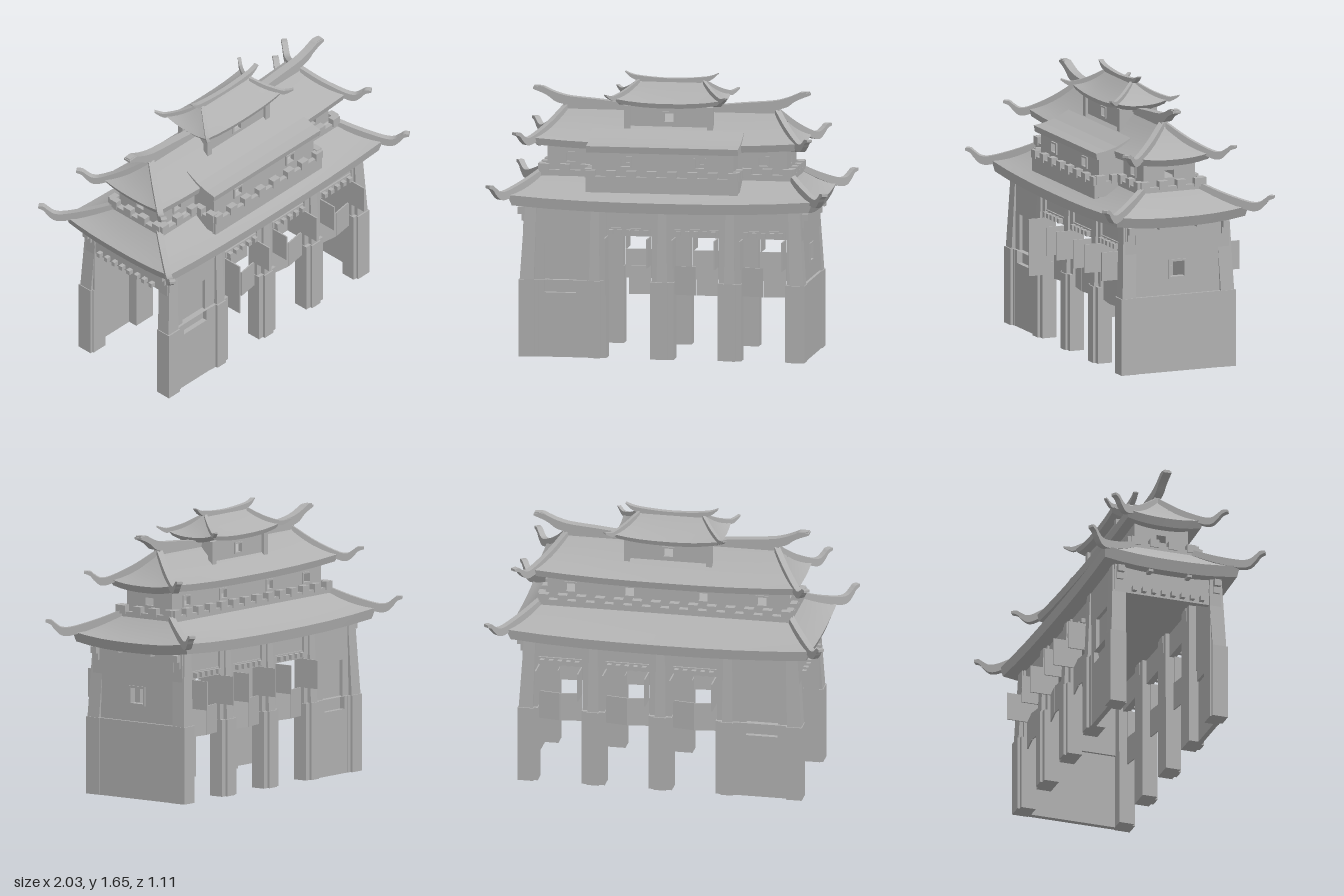
import * as THREE from 'three';
import { toCreasedNormals } from 'three/addons/utils/BufferGeometryUtils.js';

export function createModel() {
  const root = new THREE.Group();
  root.name = 'gateTower';
  const stone = new THREE.MeshStandardMaterial({ color: 0xb0b0b0 });
  stone.name = 'stoneGrey';

  function add(name, geometry, x = 0, y = 0, z = 0, ry = 0) {
    const mesh = new THREE.Mesh(geometry, stone);
    mesh.name = name;
    mesh.position.set(x, y, z);
    mesh.rotation.y = ry;
    root.add(mesh);
    return mesh;
  }
  // Box given by its extents
  function box(name, x0, x1, y0, y1, z0, z1) {
    return add(name, new THREE.BoxGeometry(Math.abs(x1 - x0), y1 - y0, Math.abs(z1 - z0)),
      (x0 + x1) / 2, (y0 + y1) / 2, (z0 + z1) / 2);
  }
  // Upright wall with rectangular holes [cx, cy, w, h], centred on its thickness
  function wallGeometry(x0, x1, y0, y1, holes, depth) {
    const rect = (P, a, b, c, d) => new P().moveTo(a, c).lineTo(b, c).lineTo(b, d).lineTo(a, d).closePath();
    const shape = rect(THREE.Shape, x0, x1, y0, y1);
    for (const [cx, cy, w, h] of holes) {
      shape.holes.push(rect(THREE.Path, cx - w / 2, cx + w / 2, cy - h / 2, cy + h / 2));
    }
    return new THREE.ExtrudeGeometry(shape, { depth, bevelEnabled: false }).translate(0, 0, -depth / 2);
  }
  // Curved upright blade through [r, y, halfHeight]
  function blade(points, width) {
    const top = points.map(([r, y, h]) => new THREE.Vector2(r, y + h));
    const low = points.map(([r, y, h]) => new THREE.Vector2(r, y - h)).reverse();
    const shape = new THREE.Shape().moveTo(top[0].x, top[0].y);
    shape.splineThru(top.slice(1));
    shape.lineTo(low[0].x, low[0].y);
    shape.splineThru(low.slice(1));
    return new THREE.ExtrudeGeometry(shape, { depth: width, bevelEnabled: false, curveSegments: 8 })
      .translate(0, 0, -width / 2);
  }
  // Hipped roof lofted from rectangular rings whose corners sweep upward
  function hipRoof(name, ex, ez, ey, tx, tz, ty, lift, thick) {
    const N = 8, rings = [], steps = 6;
    const ring = (hx, hz, y, l) => {
      const pts = [];
      for (let s = 0; s < 4; s++) {
        for (let i = 0; i < N; i++) {
          const u = -1 + 2 * i / N;
          const [a, b] = [[u, 1], [1, -u], [-u, -1], [-1, u]][s];
          pts.push([a * hx, y + l * Math.abs(u) ** 2.5, b * hz]);
        }
      }
      rings.push(pts);
    };
    ring(ex - ez, 0, ey - thick, 0);
    ring(ex - 0.025, ez - 0.01, ey - thick, lift);
    for (let i = 0; i <= steps; i++) {
      const t = i / steps;
      ring(ex + (tx - ex) * t, ez + (tz - ez) * t,
        ey + (ty - ey) * (0.6 * t + 0.4 * t * t), lift * (1 - t) ** 2);
    }
    ring(tx, 0, ty, 0);
    const M = 4 * N, index = [];
    for (let r = 0; r < rings.length - 1; r++) {
      for (let i = 0; i < M; i++) {
        const a = r * M + i, b = r * M + (i + 1) % M;
        index.push(a, b, b + M, a, b + M, a + M);
      }
    }
    const g = new THREE.BufferGeometry();
    g.setAttribute('position', new THREE.Float32BufferAttribute(rings.flat(2), 3));
    g.setIndex(index);
    add(name, toCreasedNormals(g, 0.5));
  }
  // Four corner ridges running from (x, z) along (dx, dz)
  function hipRidges(name, x, z, dx, dz, points, width) {
    for (const sx of [-1, 1]) for (const sz of [-1, 1]) {
      add(name, blade(points, width), sx * x, 0, sz * z, Math.atan2(-sz * dz, sx * dx));
    }
  }
  // Battlement along x (or along z when turned)
  function parapet(a, b, at, y0, y1, turned = false) {
    const put = (n, u0, u1, v0, v1, t) => turned
      ? box(n, at - t, at + t, v0, v1, u0, u1) : box(n, u0, u1, v0, v1, at - t, at + t);
    put('parapet', a, b, y0, y1, 0.013);
    const n = Math.max(2, Math.round((b - a) / 0.11)), w = 0.056;
    for (let i = 0; i < n; i++) {
      const u = a + (b - a - w) * i / (n - 1);
      put('merlon', u, u + w, y1 - 0.015, y1 + 0.035, 0.02);
    }
  }

  // Columns: wide pier behind, stepped base and tapering shaft in front
  const bays = [-0.2, 0.2, 0.6];
  for (const s of [-1, 1]) {
    for (const x of [-0.8, -0.4, 0, 0.4, 0.8]) {
      const end = Math.abs(x) > 0.7, px = end ? Math.sign(x) * 0.78 : x, pw = end ? 0.05 : 0.07;
      box('pierBase', px - pw, px + pw, 0, 0.455, s * 0.26, s * 0.35);
      box('pier', px - pw + 0.005, px + pw - 0.005, 0.455, 0.89, s * 0.26, s * 0.33);
      const hw = end ? 0.047 : 0.036;
      box('columnBase', x - hw, x + hw, 0, 0.455, s * 0.268, s * 0.365);
      const g = new THREE.BoxGeometry(hw * 2 - 0.01, 0.435, 0.085);
      const p = g.attributes.position;
      for (let i = 0; i < p.count; i++) {
        if (p.getY(i) > 0) {
          p.setX(i, p.getX(i) * 0.8 - (end ? Math.sign(x) * 0.02 : 0));
          p.setZ(i, p.getZ(i) - s * 0.018);
        }
      }
      g.computeVertexNormals();
      add('columnShaft', g, x, 0.6725, s * 0.314);
    }
    // Solid bay with a recessed panel
    add('bayWallLower', wallGeometry(-0.8, -0.4, 0, 0.455, [[-0.605, 0.4175, 0.19, 0.0749]], 0.03), 0, 0, s * 0.332);
    add('bayWallUpper', wallGeometry(-0.8, -0.4, 0.455, 0.89, [[-0.605, 0.5625, 0.19, 0.2149]], 0.03), 0, 0, s * 0.318);
    box('bayPanel', -0.705, -0.505, 0.37, 0.68, s * 0.295, s * 0.312);

    // Open bays: lintel, block row and hinged leaves
    for (const x of bays) {
      box('lintelWall', x - 0.15, x + 0.15, 0.72, 0.89, s * 0.285, s * 0.318);
      box('lintel', x - 0.13, x + 0.13, 0.725, 0.768, s * 0.318, s * 0.328);
      for (let i = 0; i < 5; i++) {
        const bx = x - 0.104 + i * 0.052;
        box('lintelBlock', bx - 0.013, bx + 0.013, 0.732, 0.76, s * 0.32, s * 0.355);
      }
      for (const e of [-1, 1]) {
        box('openLeaf', x + e * 0.126 - 0.004, x + e * 0.126 + 0.004, 0.55, 0.72, s * 0.31, s * 0.44);
        if (s > 0 && e < 0 && x < 0) {
          box('openLowerLeaf', x - 0.13, x - 0.122, 0.38, 0.55, 0.31, 0.44);
        } else {
          const g = new THREE.BoxGeometry(0.13, 0.17, 0.008).translate(-e * 0.065, 0, 0);
          add('lowerLeaf', g, x + e * 0.13, 0.465, s * 0.31, -e * s * -0.15);
        }
      }
    }
  }

  // Solid end wall with a framed window
  box('endWallLower', 0.81, 0.842, 0, 0.455, -0.28, 0.28);
  add('endWallUpper', wallGeometry(-0.28, 0.28, 0.455, 0.89, [[0, 0.607, 0.1, 0.1]], 0.03), 0.81, 0, 0, Math.PI / 2);
  add('endWindowFrame', wallGeometry(-0.058, 0.058, 0.549, 0.665, [[0, 0.607, 0.09, 0.09]], 0.04), 0.812, 0, 0, Math.PI / 2);
  box('endWallBand', 0.82, 0.83, 0.77, 0.89, -0.27, 0.27);

  // Open end with lintel and blocks
  box('endLintelWall', -0.815, -0.785, 0.72, 0.89, -0.28, 0.28);
  for (let i = 0; i < 8; i++) {
    const z = -0.21 + i * 0.06;
    box('lintelBlock', -0.845, -0.81, 0.732, 0.76, z - 0.013, z + 0.013);
  }

  // Brackets under the lower eaves
  for (const s of [-1, 1]) {
    for (const z of [-0.12, 0.12]) box('eaveBracket', s * 0.8, s * 0.87, 0.855, 0.885, z - 0.013, z + 0.013);
    for (const z of [-0.3, 0.3]) {
      box('cornerBracket', s * 0.8, s * 0.86, 0.835, 0.875, z - 0.02, z + 0.02);
      box('cornerBracketFoot', s * 0.8, s * 0.838, 0.795, 0.835, z - 0.02, z + 0.02);
    }
  }

  // Lower roof
  hipRoof('lowerRoof', 0.905, 0.42, 0.93, 0.73, 0.17, 1.08, 0.03, 0.062);
  hipRidges('lowerHipRidge', 0.73, 0.17, 0.587, 0.81, [[0, 1.08, 0.018], [0.15, 1.015, 0.022],
    [0.3, 0.965, 0.025], [0.365, 0.962, 0.024], [0.405, 0.99, 0.02], [0.43, 1.015, 0.014], [0.46, 1.022, 0.008]], 0.035);

  // Middle storey
  const windows = [-0.57, -0.22, 0.22, 0.57].map(x => [x, 1.155, 0.055, 0.05]);
  for (const s of [-1, 1]) {
    add('middleWall', wallGeometry(-0.71, 0.71, 1.05, 1.225, windows, 0.02), 0, 0, s * 0.155);
    add('middleEndWall', wallGeometry(-0.155, 0.155, 1.05, 1.225, [[0, 1.15, 0.06, 0.045]], 0.02), s * 0.7, 0, 0, Math.PI / 2);
    parapet(-0.2, 0.2, s * 0.74, 1.05, 1.085, true);
    parapet(s > 0 ? 0.45 : -0.75, s > 0 ? 0.75 : -0.45, 0.2, 1.05, 1.085);
    parapet(0.2, 0.35, s * 0.44, 0.99, 1.08, true);
    box('projectingSideWall', s * 0.4, s * 0.42, 1.0, 1.23, 0.16, 0.32);
    // Window surrounds
    for (const [x] of windows) {
      const z = s > 0 && Math.abs(x) < 0.4 ? 0.325 : s * 0.167;
      add('windowFrame', wallGeometry(x - 0.038, x + 0.038, 1.12, 1.19, [[x, 1.155, 0.055, 0.05]], 0.01), 0, 0, z);
    }
  }
  parapet(-0.75, 0.75, -0.2, 1.05, 1.085);
  parapet(-0.45, 0.45, 0.35, 0.98, 1.075);
  add('projectingWall', wallGeometry(-0.42, 0.42, 0.97, 1.23, windows.slice(1, 3), 0.02), 0, 0, 0.31);

  // Middle roof and its projecting front eave
  hipRoof('middleRoof', 0.79, 0.237, 1.25, 0.63, 0.01, 1.43, 0.025, 0.042);
  const eave = new THREE.Shape([[0.13, 1.325], [0.22, 1.28], [0.29, 1.26], [0.352, 1.25], [0.345, 1.212], [0.13, 1.212]]
    .map(([z, y]) => new THREE.Vector2(-z, y)));
  add('projectingEave', new THREE.ExtrudeGeometry(eave, { depth: 0.9, bevelEnabled: false }).translate(0, 0, -0.45),
    0, 0, 0, Math.PI / 2);
  hipRidges('middleHipRidge', 0.63, 0.015, 0.587, 0.81, [[0, 1.425, 0.018], [0.13, 1.335, 0.022],
    [0.26, 1.27, 0.023], [0.32, 1.258, 0.022], [0.36, 1.282, 0.018], [0.385, 1.305, 0.013], [0.42, 1.312, 0.007]], 0.035);
  box('middleRidge', -0.64, 0.64, 1.41, 1.45, -0.02, 0.02);
  for (const s of [0, 1]) {
    add('ridgeTail', blade([[0.22, 1.445, 0.012], [0.43, 1.458, 0.02], [0.6, 1.468, 0.025], [0.68, 1.485, 0.027],
      [0.73, 1.512, 0.02], [0.77, 1.53, 0.018], [0.82, 1.537, 0.006]], 0.05), 0, 0, 0, s * Math.PI);
    add('ridgeTailFin', blade([[0.72, 1.51, 0.008], [0.76, 1.535, 0.012], [0.815, 1.547, 0.004]], 0.035), 0, 0, 0, s * Math.PI);
  }

  // Top pavilion
  for (const s of [-1, 1]) {
    add('pavilionWall', wallGeometry(-0.24, 0.24, 1.3, 1.46, [[0, 1.394, 0.055, 0.05]], 0.015), 0, 0, s * 0.095);
    add('pavilionWindowFrame', wallGeometry(-0.037, 0.037, 1.36, 1.428, [[0, 1.394, 0.055, 0.05]], 0.01), 0, 0, s * 0.105);
    box('pavilionEndWall', s * 0.225, s * 0.24, 1.3, 1.46, -0.095, 0.095);
    for (const x of [-0.245, 0.245]) box('pavilionPost', x - 0.018, x + 0.018, 1.31, 1.46, s * 0.085, s * 0.12);
  }
  hipRoof('topRoof', 0.32, 0.165, 1.482, 0.2, 0.01, 1.595, 0.025, 0.028);
  hipRidges('topHipRidge', 0.195, 0.015, 0.625, 0.78, [[0, 1.59, 0.014], [0.1, 1.54, 0.014],
    [0.19, 1.511, 0.014], [0.225, 1.515, 0.011], [0.262, 1.532, 0.004]], 0.02);
  add('topRidge', blade([[-0.275, 1.645, 0.003], [-0.2, 1.61, 0.015], [0, 1.598, 0.014], [0.2, 1.61, 0.015],
    [0.275, 1.645, 0.003]], 0.03));

  return root;
}
